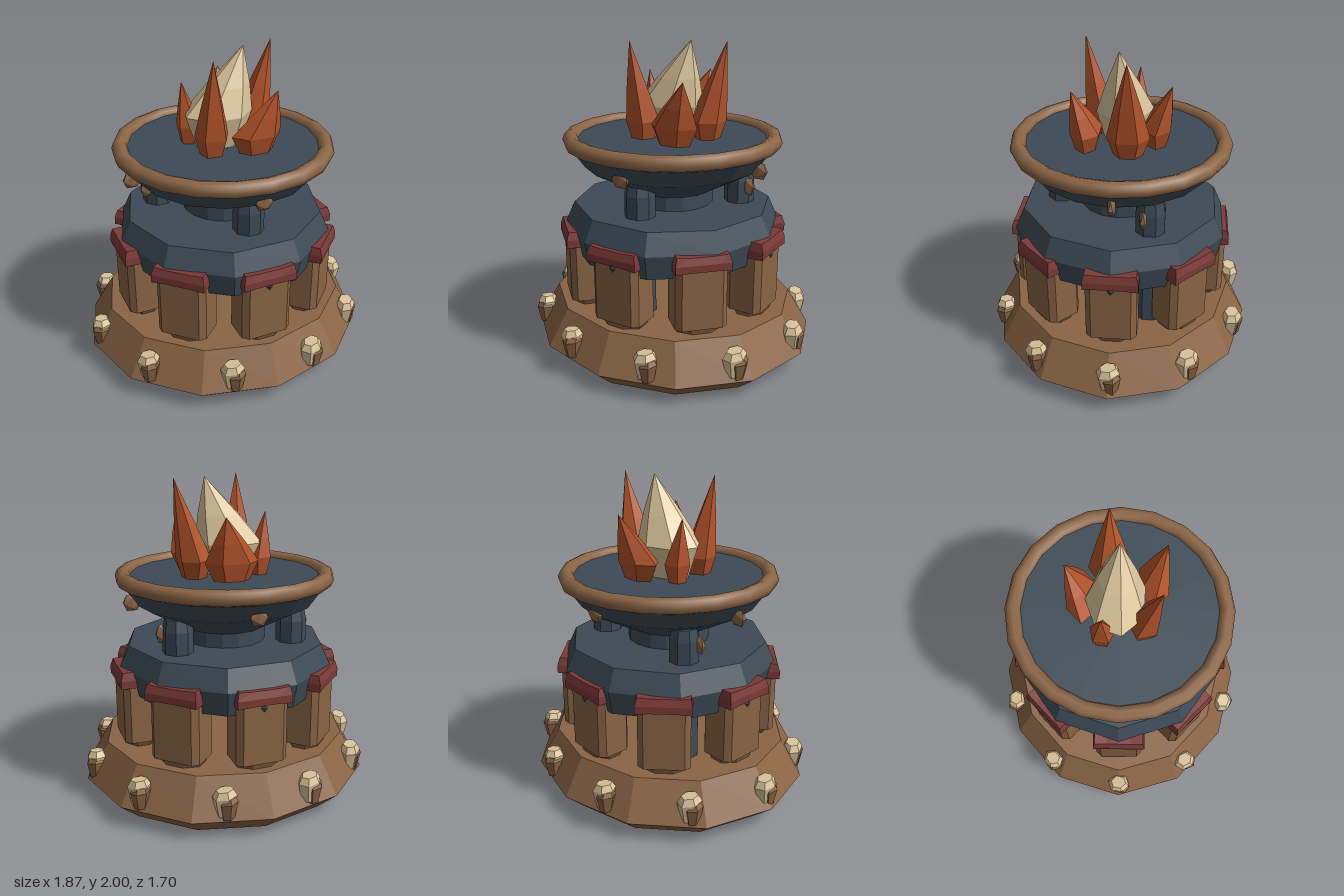
import * as THREE from 'three';

const paint = (name, color) => Object.assign(new THREE.MeshStandardMaterial({ color }), { name });

export function createModel() {
  const model = new THREE.Group();
  model.name = 'fireBrazier';
  const wood = paint('brown', 0x8b6545);
  const slate = paint('slate', 0x3d4b56);
  const red = paint('darkRed', 0x7b3a37);
  const orange = paint('orange', 0xb3532a);
  const cream = paint('cream', 0xdcc69c);

  const facet = (geo) => {
    const g = geo.index ? geo.toNonIndexed() : geo;
    g.computeVertexNormals();
    return g;
  };
  const add = (name, geo, mat, x = 0, y = 0, z = 0, parent = model) => {
    const m = new THREE.Mesh(geo, mat);
    m.name = name;
    m.position.set(x, y, z);
    parent.add(m);
    return m;
  };
  // Faceted solid of revolution, profile listed from bottom to top as [radius, height]
  const turned = (profile, sides, start = 0) =>
    new THREE.LatheGeometry(profile.map(([r, y]) => new THREE.Vector2(r, y)), sides, start);

  // Base plinth
  const base = turned([[0, 0], [0.79, 0], [0.93, 0.12], [0.79, 0.355], [0, 0.355]], 12);
  base.scale(1, 1, 0.914);
  add('base', facet(base), wood);

  // Irregular rock: six-sided lump with a slanted top
  const rockGeometry = (w, h, d) => {
    const g = turned([[0, -0.5], [0.32, -0.5], [0.5, 0.25], [0.34, 0.5], [0, 0.5]], 6, 0.3);
    const p = g.attributes.position;
    for (let i = 0; i < p.count; i++) p.setY(i, p.getY(i) + 0.15 * p.getX(i));
    g.scale(w, h, d);
    return facet(g);
  };

  // Studs around the plinth, each a pale rock with a brown one set into it
  const paleRock = rockGeometry(0.15, 0.16, 0.13);
  const brownRock = rockGeometry(0.12, 0.14, 0.12);
  for (let i = 0; i < 10; i++) {
    const a = (i * Math.PI) / 5 + Math.PI / 2;
    const stud = new THREE.Group();
    stud.name = 'baseStud';
    stud.position.set(Math.sin(a) * 0.865, 0.22, Math.cos(a) * 0.79);
    stud.rotation.y = a;
    add('paleRock', paleRock, cream, 0, 0.01, 0, stud);
    add('brownRock', brownRock, wood, 0.02, -0.015, 0.012, stud);
    model.add(stud);
  }

  // Chamfered pillar outline, tapered in at the foot
  const w = 0.16, d = 0.115, c = 0.035;
  const outline = new THREE.Shape([
    [-w + c, -d], [w - c, -d], [w, -d + c], [w, d - c],
    [w - c, d], [-w + c, d], [-w, d - c], [-w, -d + c],
  ].map(([x, y]) => new THREE.Vector2(x, y)));
  const pillar = new THREE.ExtrudeGeometry(outline, { depth: 0.46, steps: 1, bevelEnabled: false });
  pillar.rotateX(-Math.PI / 2);
  const foot = new THREE.CylinderGeometry(1, 0.85, 0.05, 8, 1, false, Math.PI / 8);
  foot.scale(w * 1.04, 1, d * 1.04);
  const pillarGeo = facet(pillar);
  const footGeo = facet(foot);

  // Cap block, narrower at the top and thicker at its ends
  const cap = new THREE.BoxGeometry(0.34, 0.1, 0.12, 4, 2, 1);
  const cp = cap.attributes.position;
  for (let i = 0; i < cp.count; i++) {
    const x = cp.getX(i), y = cp.getY(i);
    if (y > 0.01) cp.setZ(i, cp.getZ(i) * 0.75);
    if (y > 0.01) cp.setX(i, x * 0.93);
    if (Math.abs(x) < 0.1) cp.setY(i, y * 0.88);
  }
  const capGeo = facet(cap);

  // Ring of eight capped pillars
  const ring = new THREE.Group();
  ring.name = 'pillarRing';
  ring.scale.z = 0.97;
  for (let i = 0; i < 8; i++) {
    const bay = new THREE.Group();
    bay.name = 'pillarBay';
    bay.rotation.y = (i * Math.PI) / 4;
    add('pillar', pillarGeo, wood, 0, 0.39, 0.585, bay);
    add('pillarFoot', footGeo, wood, 0, 0.37, 0.585, bay);
    add('pillarCap', capGeo, red, 0, 0.81, 0.66, bay);
    if (i % 2 === 0) {
      const chip = add('slateChip', facet(new THREE.OctahedronGeometry(1)), slate, 0, 0.745, 0.69, bay);
      chip.scale.set(0.035, 0.045, 0.025);
    }
    ring.add(bay);
  }
  model.add(ring);

  // Ten-sided upper platform
  add('platform', facet(turned(
    [[0, 0.7], [0.66, 0.7], [0.69, 0.85], [0.63, 0.98], [0, 0.98]], 10, Math.PI / 10)), slate);

  // Three posts running from the plinth up to the bowl
  const post = facet(turned([[0, 0.35], [0.095, 0.35], [0.095, 1.12], [0.08, 1.19], [0, 1.19]], 8, Math.PI / 8));
  for (let i = 0; i < 3; i++) {
    const a = (i * 2 * Math.PI) / 3;
    add('post', post, slate, Math.sin(a) * 0.43, 0, Math.cos(a) * 0.38 - (i ? 0.02 : 0));
  }

  // Bowl with a round rim
  add('bowl', facet(turned(
    [[0, 0.97], [0.26, 0.97], [0.26, 1.07], [0.56, 1.23], [0.65, 1.36], [0.62, 1.4], [0, 1.4]], 16)), slate);
  const rim = new THREE.TorusGeometry(0.64, 0.05, 8, 20);
  rim.rotateX(Math.PI / 2);
  add('rim', rim, wood, 0, 1.39, 0);

  // Small brown gems on the bowl and one on a post
  const gem = facet(new THREE.IcosahedronGeometry(1));
  [[0, 0.575], [0, -0.575], [0.6, 0], [-0.6, 0]].forEach(([x, z]) =>
    add('bowlGem', gem, wood, x, 1.255, z).scale.set(0.062, 0.058, 0.026));
  [1, -1].forEach((s) => add('postGem', gem, wood, s * 0.455, 1.09, -0.17).scale.set(0.05, 0.065, 0.025));

  // Flame tongue: faceted bulb whose tip leans to the given point
  const flame = (name, mat, x, z, rx, rz, belly, tip, sides, turn) => {
    const h = tip[1] - 1.4;
    const g = turned([[0, 0], [0.68, 0], [1, belly], [0.62, belly + (h - belly) * 0.42], [0, h]], sides, turn);
    g.scale(rx, 1, rz);
    const p = g.attributes.position;
    for (let i = 0; i < p.count; i++) {
      const t = Math.max(0, (p.getY(i) - belly) / (h - belly));
      p.setX(i, p.getX(i) + (tip[0] - x) * t);
      p.setZ(i, p.getZ(i) + (tip[2] - z) * t);
    }
    add(name, facet(g), mat, x, 1.4, z);
  };
  flame('flameCore', cream, -0.03, -0.02, 0.22, 0.18, 0.2, [0.13, 2, 0], 7, 0.4);
  flame('tallFlame', orange, 0.22, -0.06, 0.11, 0.13, 0.11, [0.34, 2, -0.06], 6, 0);
  flame('tallFlame', orange, -0.13, 0.14, 0.11, 0.1, 0.11, [-0.16, 2, 0.23], 5, 0.5);
  flame('lowFlame', orange, 0.13, 0.2, 0.16, 0.1, 0.11, [0.23, 1.79, 0.27], 6, 0.5);
  flame('lowFlame', orange, 0.03, -0.22, 0.17, 0.1, 0.11, [0.1, 1.79, -0.31], 6, 0.5);
  flame('lowFlame', orange, -0.19, -0.1, 0.08, 0.08, 0.11, [-0.23, 1.79, -0.1], 5, 0.2);

  return model;
}
